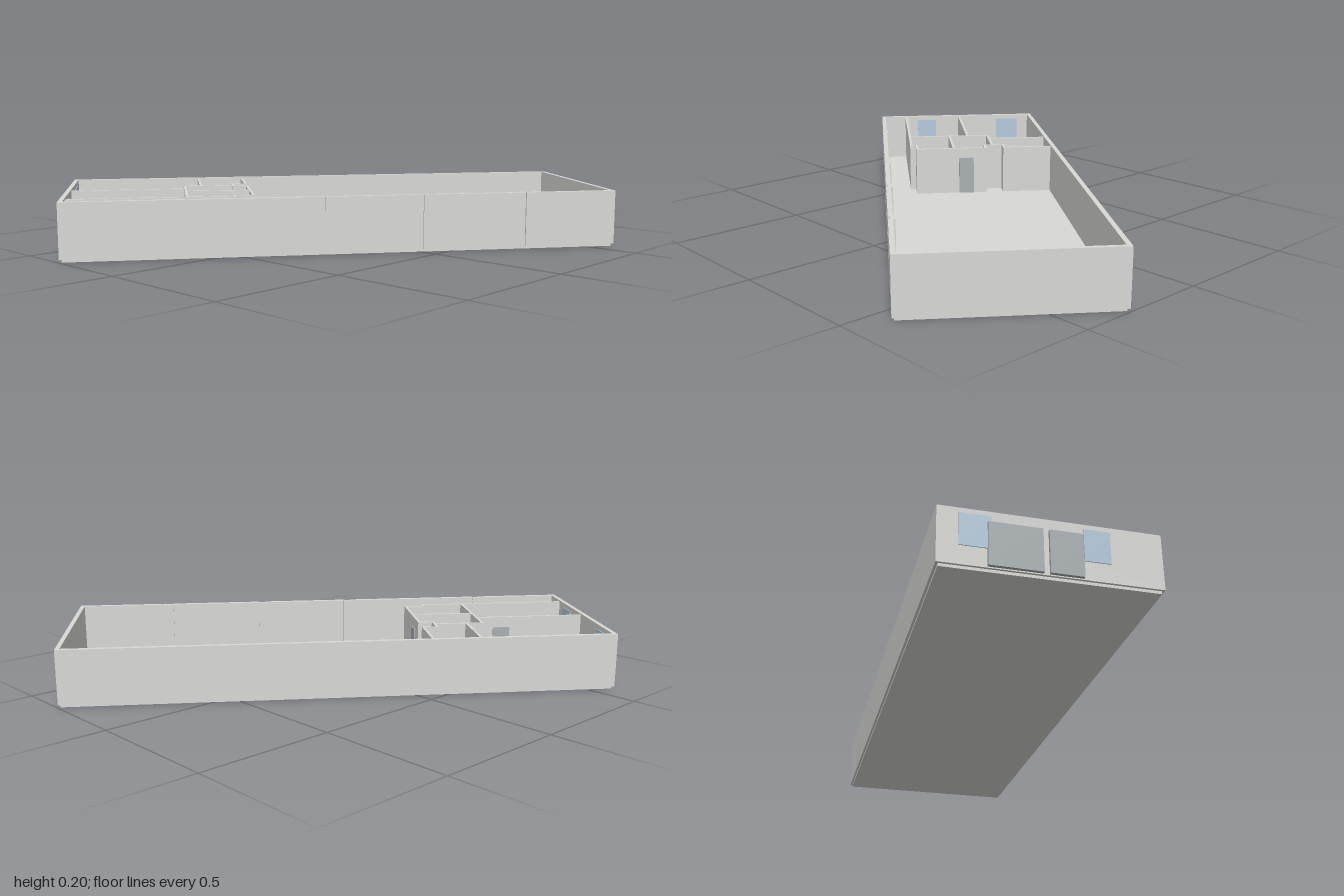
import * as THREE from 'three';

const mat = (name, color) => {
  const m = new THREE.MeshStandardMaterial({ color });
  m.name = name;
  return m;
};

export function createModel() {
  const plaster = mat('pale grey plaster', 0xd8d8d5);
  const doorGrey = mat('door grey', 0xa9b0b3);
  const glass = mat('window blue', 0xb4cadc);
  const gold = mat('gold floor', 0xd9b55f);
  const violet = mat('violet floor', 0xaca8d8);
  const tan = mat('tan floor', 0xd8c298);
  const blue = mat('light blue floor', 0xb5c8d5);

  const model = new THREE.Group();
  model.name = 'floorPlan';
  // the building stands turned on its plot
  const building = new THREE.Group();
  building.name = 'building';
  building.rotation.y = -Math.atan2(0.6, 0.8);
  model.add(building);

  const add = (name, geometry, material) => {
    const mesh = new THREE.Mesh(geometry, material);
    mesh.name = name;
    building.add(mesh);
    return mesh;
  };
  // box from its limits on each axis
  const box = (name, material, x0, x1, y0, y1, z0, z1) =>
    add(name, new THREE.BoxGeometry(x1 - x0, y1 - y0, z1 - z0), material)
      .position.set((x0 + x1) / 2, (y0 + y1) / 2, (z0 + z1) / 2);
  // plan outline [x, z] raised from y0 to y1
  const plan = (name, material, outline, y0, y1, hole) => {
    const toPoints = (list) => list.map(([x, z]) => new THREE.Vector2(x, z));
    const shape = new THREE.Shape(toPoints(outline));
    if (hole) shape.holes.push(new THREE.Path(toPoints(hole)));
    const g = new THREE.ExtrudeGeometry(shape, { depth: y1 - y0, bevelEnabled: false });
    g.rotateX(Math.PI / 2);
    g.translate(0, y1, 0);
    add(name, g, material);
  };

  // base slab, set in a little from the walls
  box('floorSlab', plaster, -0.344, 0.344, 0, 0.012, -0.978, 0.978);

  // outer walls: the long wall steps inward at four joints
  const ring = (w, l) => {
    const pts = [[-w, l], [-w, -l], [w, -l]];
    for (const z of [-0.632, -0.254, 0.097, 0.642]) {
      pts.push([w, z - 0.016], [w - 0.007, z - 0.016], [w - 0.007, z + 0.016], [w, z + 0.016]);
    }
    pts.push([w, l]);
    return pts;
  };
  plan('outerWalls', plaster, ring(0.352, 0.986), 0.01, 0.205, ring(0.335, 0.97));

  // coloured room floors
  const rooms = [
    ['tanRoomFloor', tan, [[-0.336, 0.325], [-0.148, 0.325], [-0.148, 0.377], [-0.103, 0.377], [-0.103, 0.489], [-0.336, 0.489]]],
    ['goldRoomFloor', gold, [[-0.336, 0.499], [-0.103, 0.499], [-0.103, 0.56], [-0.016, 0.56], [-0.016, 0.971], [-0.336, 0.971]]],
    ['violetRoomFloor', violet, [[-0.006, 0.56], [0.233, 0.56], [0.233, 0.971], [-0.006, 0.971]]],
    ['blueRoomFloor', blue, [[0.071, 0.325], [0.21, 0.325], [0.21, 0.395], [0.233, 0.395], [0.233, 0.55], [0.071, 0.55]]],
  ];
  for (const [name, material, outline] of rooms) plan(name, material, outline, 0.011, 0.016);

  // inner walls along centre lines: x0, z0, x1, z1
  const lines = [
    [-0.338, 0.32, -0.143, 0.32], [-0.143, 0.32, -0.143, 0.372],
    [-0.143, 0.372, -0.065, 0.372], [-0.065, 0.32, -0.065, 0.372],
    [-0.065, 0.32, 0.215, 0.32], [0.215, 0.32, 0.215, 0.39],
    [0.215, 0.39, 0.238, 0.39], [0.238, 0.39, 0.238, 0.97],
    [-0.338, 0.494, -0.098, 0.494], [-0.098, 0.372, -0.098, 0.555],
    [-0.098, 0.555, 0.238, 0.555], [0.066, 0.32, 0.066, 0.555],
    [-0.011, 0.555, -0.011, 0.97],
  ];
  const t = 0.005;
  for (const [x0, z0, x1, z1] of lines) {
    box('innerWall', plaster, x0 - t, x1 + t, 0.01, 0.2, z0 - t, z1 + t);
  }

  // inner doors, proud of both wall faces
  box('bedroomDoor', doorGrey, -0.019, -0.003, 0.012, 0.16, 0.62, 0.685);
  box('bathroomDoor', doorGrey, 0.058, 0.074, 0.012, 0.16, 0.46, 0.52);
  box('entranceDoor', doorGrey, -0.015, 0.045, 0.012, 0.16, 0.311, 0.328);

  // end wall windows and sliding panels
  for (const [x0, x1] of [[-0.285, -0.187], [0.1, 0.184]]) {
    box('window', glass, x0, x1, 0.075, 0.187, 0.967, 0.989);
  }
  for (const [x0, x1] of [[-0.198, -0.029], [-0.01, 0.096]]) {
    box('slidingPanel', doorGrey, x0, x1, 0.014, 0.164, 0.984, 0.997);
  }
  return model;
}
